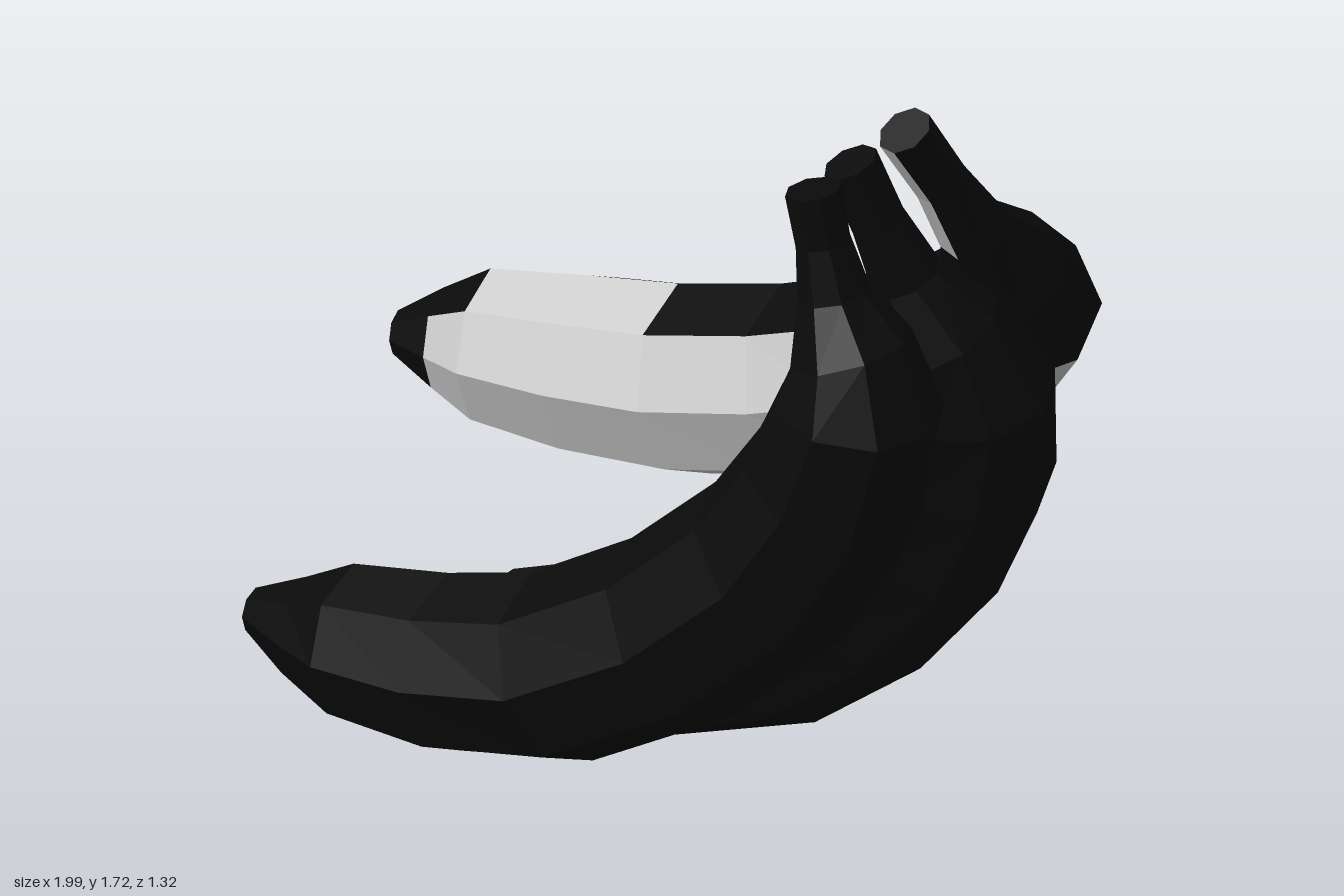
import * as THREE from 'three';

const SIDES = 8;
const dark = new THREE.MeshStandardMaterial({ color: 0x0a0a0a, flatShading: true });
const pale = new THREE.MeshStandardMaterial({ color: 0xcccccc, flatShading: true });

// Thickness shared by every fruit, from blossom tip to stem end
const radii = [0.05, 0.115, 0.175, 0.202, 0.214, 0.217, 0.217, 0.207, 0.185, 0.138, 0.08, 0.06, 0.062];

// Centreline of each fruit, and its pale patches as [first ring, last ring, sector]
// (sector 0 faces front, sector 2 faces the inner curve)
const fruits = [
  {
    name: 'frontBanana',
    path: [[-0.88, 0.28, 0.35], [-0.62, 0.27, 0.355], [-0.08, 0.35, 0.4], [0.49, 0.74, 0.435],
      [0.71, 1.16, 0.47], [0.66, 1.42, 0.495], [0.625, 1.66, 0.52]],
    patches: [[3, 5, 2], [4, 9, 3], [4, 8, 4], [6, 8, 5], [11, 13, 3]],
  },
  {
    name: 'middleBanana',
    path: [[-0.66, 0.1, 0], [-0.41, 0.17, -0.01], [0.2, 0.35, 0], [0.64, 0.74, 0.085],
      [0.81, 1.12, 0.185], [0.72, 1.4, 0.3], [0.64, 1.68, 0.395]],
    patches: [[3, 4, 0]],
  },
  {
    name: 'backBanana',
    path: [[-0.99, 0.62, -0.4], [-0.77, 0.63, -0.43], [-0.28, 0.66, -0.445], [0.29, 0.84, -0.385],
      [0.68, 1.15, -0.2], [0.72, 1.41, 0.03], [0.66, 1.69, 0.21]],
    patches: [[2, 9, 0], [3, 5, 1], [2, 9, 7], [3, 9, 6], [11, 13, 0]],
  },
];

// Rings of corners around the curved centreline, closed by a point at each end
function makeRings(path) {
  const curve = new THREE.CatmullRomCurve3(path.map((p) => new THREE.Vector3(...p)));
  const rings = radii.map((r, i) => {
    const s = i / (radii.length - 1);
    const c = curve.getPoint(s);
    const t = curve.getTangent(s);
    const u = new THREE.Vector3(0, 0, 1).addScaledVector(t, -t.z).normalize();
    const v = u.clone().cross(t);
    return Array.from({ length: SIDES }, (_, k) => {
      const a = (k / SIDES) * Math.PI * 2;
      return c.clone().addScaledVector(u, Math.cos(a) * r).addScaledVector(v, Math.sin(a) * r);
    });
  });
  const cap = (s) => Array(SIDES).fill(curve.getPoint(s));
  return [cap(0), ...rings, cap(1)];
}

// Skin made only of the faces that the test accepts
function skin(rings, accept) {
  const pos = [];
  const lastBand = rings.length - 2;
  for (let i = 0; i <= lastBand; i++) {
    for (let k = 0; k < SIDES; k++) {
      if (!accept(i, k)) continue;
      const n = (k + 1) % SIDES;
      const [a, b, c, d] = [rings[i][k], rings[i][n], rings[i + 1][k], rings[i + 1][n]];
      if (i > 0) pos.push(...a, ...c, ...b);
      if (i < lastBand) pos.push(...b, ...c, ...d);
    }
  }
  const g = new THREE.BufferGeometry();
  g.setAttribute('position', new THREE.Float32BufferAttribute(pos, 3));
  g.computeVertexNormals();
  return g;
}

export function createModel() {
  const bunch = new THREE.Group();
  bunch.name = 'bananaBunch';
  for (const { name, path, patches } of fruits) {
    const rings = makeRings(path);
    const isPale = (i, k) => patches.some(([from, to, sector]) => k === sector && i >= from && i < to);
    const fruit = new THREE.Group();
    fruit.name = name;
    const peel = new THREE.Mesh(skin(rings, (i, k) => !isPale(i, k)), dark);
    peel.name = 'peel';
    const patch = new THREE.Mesh(skin(rings, isPale), pale);
    patch.name = 'palePatches';
    fruit.add(peel, patch);
    bunch.add(fruit);
  }
  return bunch;
}
